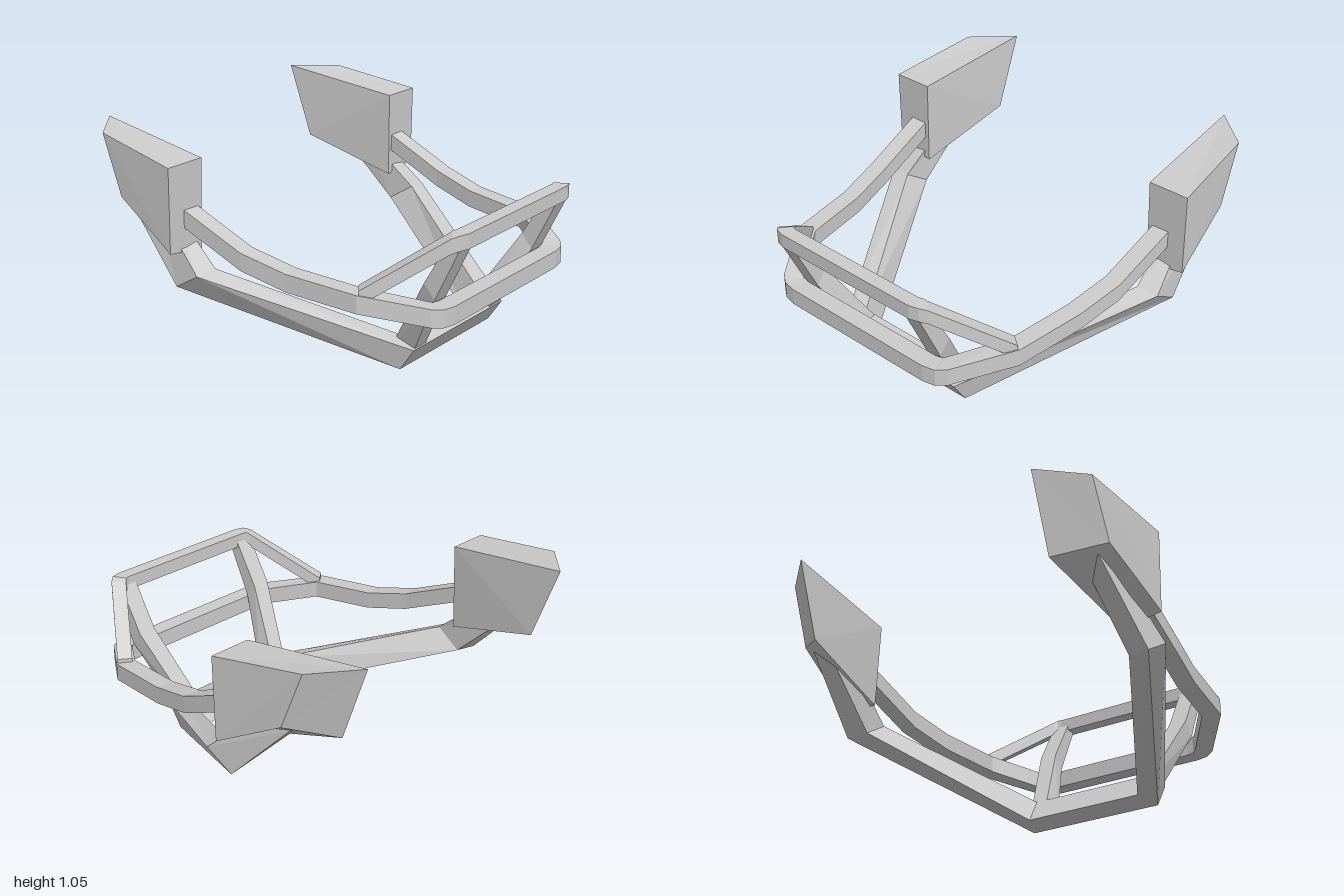
import * as THREE from 'three';

const material = new THREE.MeshStandardMaterial({ color: 0xcccccc, flatShading: true });

// Closed solid through a row of four-cornered sections, wound outward
function loft(name, sections) {
  const p = [];
  const tri = (a, b, c) => p.push([a, b, c]);
  const quad = (a, b, c, d) => { tri(a, b, c); tri(a, c, d); };
  for (let i = 0; i < sections.length - 1; i++) {
    const s = sections[i], t = sections[i + 1];
    for (let k = 0; k < 4; k++) {
      const n = (k + 1) % 4;
      quad(s[k], s[n], t[n], t[k]);
    }
  }
  const [a, b, c, d] = sections[0];
  quad(d, c, b, a);
  quad(...sections[sections.length - 1]);
  // A negative volume means the faces point inward
  const centre = new THREE.Vector3(...a);
  const v = (q) => new THREE.Vector3(...q).sub(centre);
  let volume = 0;
  for (const [q, r, s] of p) volume += v(q).dot(v(r).cross(v(s)));
  if (volume < 0) p.forEach((t) => t.reverse());
  const g = new THREE.BufferGeometry();
  g.setAttribute('position', new THREE.Float32BufferAttribute(p.flat(2), 3));
  g.computeVertexNormals();
  const mesh = new THREE.Mesh(g, material);
  mesh.name = name;
  return mesh;
}

const flip = ([x, y, z]) => [-x, y, z];
const flipSections = (sections) => sections.map((s) => s.map(flip));

// Upright rectangular sections along a path, mitred in plan
function barSections(path, width, height) {
  const dir = (a, b) => new THREE.Vector2(b[0] - a[0], b[2] - a[2]).normalize();
  return path.map((pt, i) => {
    const d0 = dir(path[Math.max(i - 1, 0)], path[Math.max(i, 1)]);
    const last = path.length - 1;
    const d1 = dir(path[Math.min(i, last - 1)], path[Math.min(i + 1, last)]);
    const m = d0.clone().add(d1).normalize();
    const w = width / 2 / m.dot(d0);
    const [x, y, z] = pt, nx = -m.y * w, nz = m.x * w, h = height / 2;
    return [
      [x + nx, y - h, z + nz], [x + nx, y + h, z + nz],
      [x - nx, y + h, z - nz], [x - nx, y - h, z - nz],
    ];
  });
}

// Full path from its left half
const mirrorPath = (half) => [...half, ...half.map(flip).reverse()];

export function createModel() {
  const group = new THREE.Group();
  group.name = 'faceGuardFrame';

  // Curved middle bar from one pad round the front to the other
  const middle = mirrorPath([
    [0.825, 0.715, -0.38], [0.803, 0.55, 0.01], [0.765, 0.493, 0.25],
    [0.715, 0.467, 0.61], [0.53, 0.405, 0.865], [0.495, 0.397, 0.89], [0.44, 0.395, 0.9],
  ]);
  group.add(loft('middleBar', barSections(middle, 0.095, 0.09)));

  // Top bar with struts sloping down to the middle bar
  const top = mirrorPath([
    [0.72, 0.495, 0.61], [0.478, 0.745, 0.93], [0.455, 0.757, 0.95], [0.42, 0.757, 0.96],
  ]);
  group.add(loft('topBar', barSections(top, 0.075, 0.073)));

  // Heavy lower bar: corners run bottom outer, top outer, top inner, bottom inner
  const lower = [
    [[0.86, 0.7, -0.7], [0.86, 0.7, -0.5], [0.77, 0.7, -0.5], [0.77, 0.7, -0.7]],
    [[0.905, 0.35, -0.36], [0.915, 0.44, -0.21], [0.8, 0.45, -0.2], [0.79, 0.36, -0.34]],
    [[0.385, 0, 0.6], [0.385, 0.12, 0.68], [0.345, 0.16, 0.565], [0.335, 0.03, 0.48]],
  ];
  group.add(loft('lowerBar', [...lower, ...flipSections(lower).reverse()]));

  // Uprights between the lower and top bars
  const across = (x0, x1, yBack, zBack, yFront, zFront) => [
    [x0, yBack, zBack], [x1, yBack, zBack], [x1, yFront, zFront], [x0, yFront, zFront],
  ];
  const upright = [
    across(0.265, 0.355, 0.09, 0.525, 0.08, 0.65),
    across(0.37, 0.47, 0.52, 0.79, 0.45, 0.85),
    across(0.37, 0.47, 0.755, 0.925, 0.735, 0.985),
  ];

  // Side pads with slanted back ends
  const pad = [
    [[0.965, 0.54, -0.33], [0.965, 0.97, -0.32], [0.745, 0.97, -0.32], [0.755, 0.51, -0.33]],
    [[0.92, 0.74, -0.7], [0.91, 1.04, -0.82], [0.7, 1.05, -1], [0.7, 0.66, -0.86]],
  ];

  for (const [side, place] of [['left', (s) => s], ['right', flipSections]]) {
    group.add(loft(side + 'Upright', place(upright)));
    group.add(loft(side + 'Pad', place(pad)));
  }
  return group;
}
